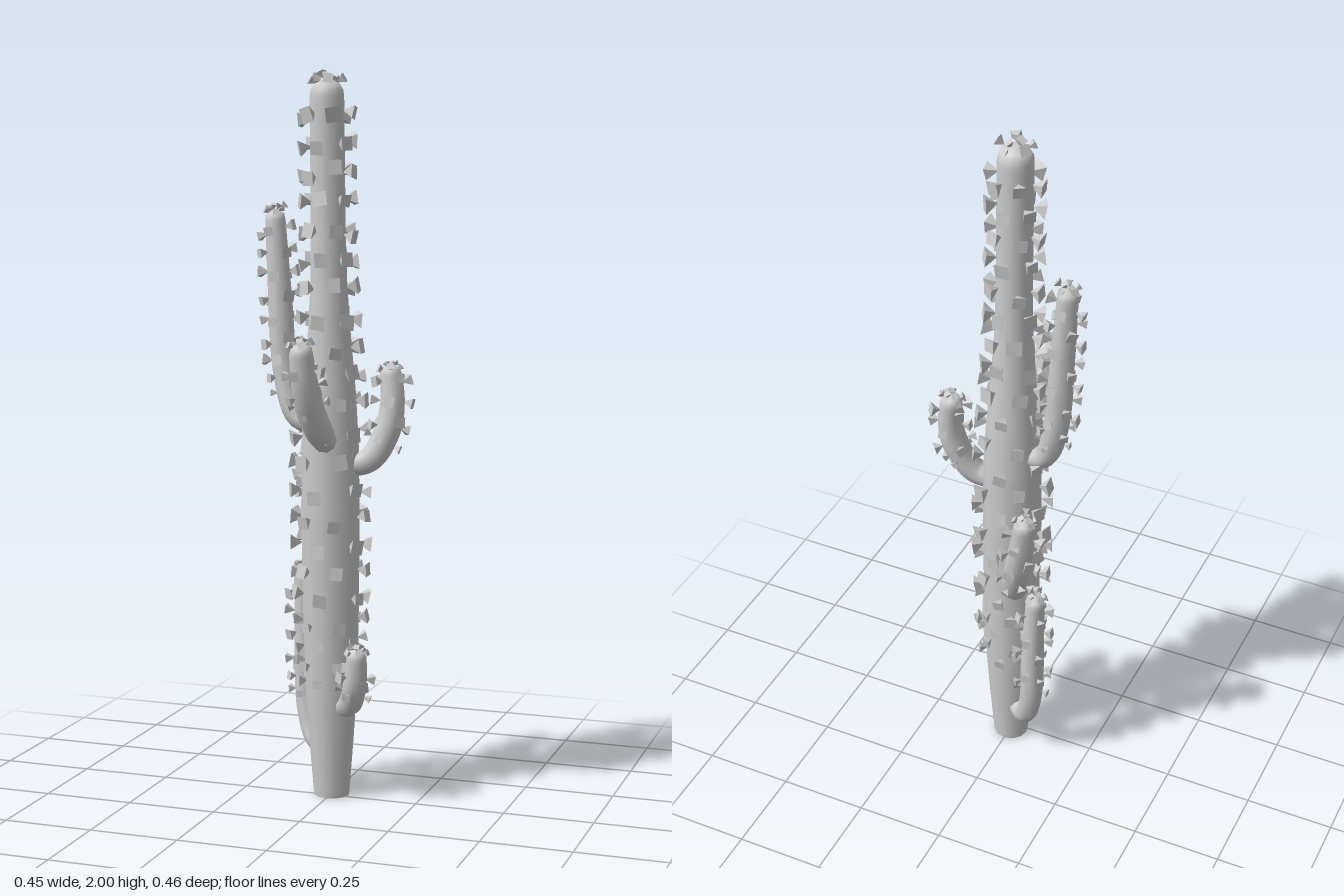
import * as THREE from 'three';
import { mergeGeometries, mergeVertices } from 'three/addons/utils/BufferGeometryUtils.js';

const V = (p) => new THREE.Vector3(...p);

// Small seeded generator for natural variation
let seed = 7;
const rand = () => {
  seed = (seed * 16807) % 2147483647;
  return seed / 2147483647;
};
const jitter = (a) => (rand() - 0.5) * 2 * a;

// Linear interpolation along a list of [t, value] pairs
function profile(pairs, t) {
  for (let i = 1; i < pairs.length; i++) {
    const [t0, v0] = pairs[i - 1], [t1, v1] = pairs[i];
    if (t <= t1) return THREE.MathUtils.mapLinear(t, t0, t1, v0, v1);
  }
  return pairs[pairs.length - 1][1];
}

// Tapered stem swept along a curve, open at the foot, closed by a domed tip
function stemGeometry(curve, radius, rings, sides) {
  const length = curve.getLength();
  const geo = new THREE.TubeGeometry(curve, rings, 1, sides, false);
  const pos = geo.attributes.position;
  const v = new THREE.Vector3();
  for (let i = 0; i <= rings; i++) {
    const t = i / rings;
    const centre = curve.getPointAt(t);
    let r = radius(t);
    const over = (t - 1) * length + r;
    if (over > 0) r *= Math.sqrt(Math.max(0, 1 - (over / r) ** 2));
    for (let j = 0; j <= sides; j++) {
      const k = i * (sides + 1) + j;
      v.fromBufferAttribute(pos, k).sub(centre).multiplyScalar(r).add(centre);
      pos.setXYZ(k, v.x, v.y, v.z);
    }
  }
  geo.deleteAttribute('normal');
  geo.deleteAttribute('uv');
  const welded = mergeVertices(geo, 1e-5);
  welded.computeVertexNormals();
  return welded;
}

// Four-sided thorn: point sits on the skin, square end faces outward, edges follow the stem
function thorn(point, dir, along, width, height) {
  const geo = new THREE.ConeGeometry(width / Math.SQRT2, height, 4, 1).toNonIndexed();
  geo.computeVertexNormals();
  geo.rotateX(Math.PI).translate(0, height / 2 - 0.003, 0).rotateY(Math.PI / 4 + jitter(0.2));
  const x = new THREE.Vector3().crossVectors(dir, along).normalize();
  const z = new THREE.Vector3().crossVectors(x, dir);
  const m = new THREE.Matrix4().makeBasis(x, dir, z).setPosition(point);
  return geo.applyMatrix4(m);
}

// Staggered rows of thorns, small and close low down, plus a tight crown on the tip
function thornsGeometry(curve, radius, { start, spacing, columns, width, height }) {
  const length = curve.getLength();
  const list = [];
  const ring = (t, r, count, turn, lean, scale) => {
    const tangent = curve.getTangentAt(t);
    const side = new THREE.Vector3(0, 0, 1).addScaledVector(tangent, -tangent.z).normalize();
    for (let c = 0; c < count; c++) {
      const angle = ((c + turn) / count) * Math.PI * 2 + jitter(0.12);
      const out = side.clone().applyAxisAngle(tangent, angle);
      const at = THREE.MathUtils.clamp(t + jitter(0.012) / length, 0, 1);
      const point = curve.getPointAt(at).addScaledVector(out, r);
      const dir = out.addScaledVector(tangent, lean + jitter(0.25)).normalize();
      const w = width * scale * (1 + jitter(0.15));
      list.push(thorn(point, dir, tangent, w, height * scale));
    }
  };
  let row = 0;
  for (let s = start * length; s < length - 0.04; row++) {
    const t = s / length;
    const scale = THREE.MathUtils.lerp(0.72, 1, THREE.MathUtils.smoothstep(t, start, start + 0.2));
    ring(t, radius(t), columns, (row % 2) * 0.5, 0, scale);
    s += spacing * scale;
  }
  const r = radius(1);
  ring(1 - (0.3 * r) / length, r * 0.7, 5, 0.3, 0.55, 0.65);
  ring(1 - (0.05 * r) / length, r * 0.25, 3, 0.1, 1.8, 0.6);
  return mergeGeometries(list);
}

function addStem(group, name, material, points, radius, rings, sides, thornOptions) {
  const curve = new THREE.CatmullRomCurve3(points.map(V));
  const part = new THREE.Group();
  part.name = name;
  const stem = new THREE.Mesh(stemGeometry(curve, radius, rings, sides), material);
  stem.name = name + 'Stem';
  const thorns = new THREE.Mesh(thornsGeometry(curve, radius, thornOptions), material);
  thorns.name = name + 'Thorns';
  part.add(stem, thorns);
  group.add(part);
}

export function createModel() {
  seed = 7;
  const model = new THREE.Group();
  model.name = 'cactus';
  const skin = new THREE.MeshStandardMaterial({ color: 0xcccccc, side: THREE.DoubleSide });
  skin.name = 'paleGrey';

  // Trunk: narrow open foot, swollen middle, slim upper column
  const trunkProfile = [[0, 0.05], [0.08, 0.063], [0.15, 0.072], [0.25, 0.078], [0.4, 0.082],
    [0.5, 0.08], [0.57, 0.073], [0.65, 0.06], [0.72, 0.051], [0.8, 0.048], [1, 0.047]];
  addStem(model, 'trunk', skin,
    [[0, 0, -0.015], [-0.002, 0.6, -0.013], [-0.006, 1.2, -0.013], [-0.014, 1.98, -0.013]],
    (t) => profile(trunkProfile, t), 120, 12,
    { start: 0.165, spacing: 0.078, columns: 6, width: 0.038, height: 0.033 });

  // Arms: path from the trunk to the tip, radius, where thorns begin
  const arms = [
    ['tallRightArm', [[-0.04, 1.04, -0.02], [-0.105, 1.06, -0.03], [-0.143, 1.17, -0.04],
      [-0.162, 1.4, -0.045], [-0.178, 1.63, -0.05]], 0.031, 0.22],
    ['leftArm', [[0.04, 0.93, -0.02], [0.105, 0.95, -0.03], [0.15, 1.03, -0.045],
      [0.161, 1.11, -0.055], [0.15, 1.21, -0.065]], 0.033, 0.4],
    ['frontArm', [[0.005, 0.99, 0.02], [0.0, 1.03, 0.08], [-0.01, 1.1, 0.13],
      [-0.015, 1.18, 0.165], [-0.02, 1.285, 0.185]], 0.035, 0.5],
    ['backArm', [[-0.03, 0.58, -0.05], [-0.055, 0.65, -0.11], [-0.08, 0.75, -0.143],
      [-0.105, 0.86, -0.165], [-0.12, 0.955, -0.18]], 0.033, 0.3],
    ['lowBackArm', [[-0.04, 0.13, -0.05], [-0.072, 0.14, -0.075], [-0.1, 0.23, -0.095],
      [-0.108, 0.42, -0.1], [-0.115, 0.625, -0.1]], 0.03, 0.35],
    ['lowFrontArm', [[0.03, 0.26, 0.01], [0.068, 0.275, 0.035], [0.094, 0.34, 0.065],
      [0.106, 0.445, 0.082]], 0.03, 0.45],
  ];
  const armProfile = [[0, 0.95], [0.25, 1.1], [0.5, 1.13], [0.75, 1.02], [1, 0.88]];
  for (const [name, path, r, start] of arms) {
    addStem(model, name, skin, path, (t) => r * profile(armProfile, t), 40, 10,
      { start, spacing: 0.06, columns: 4, width: 0.028, height: 0.027 });
  }
  return model;
}
